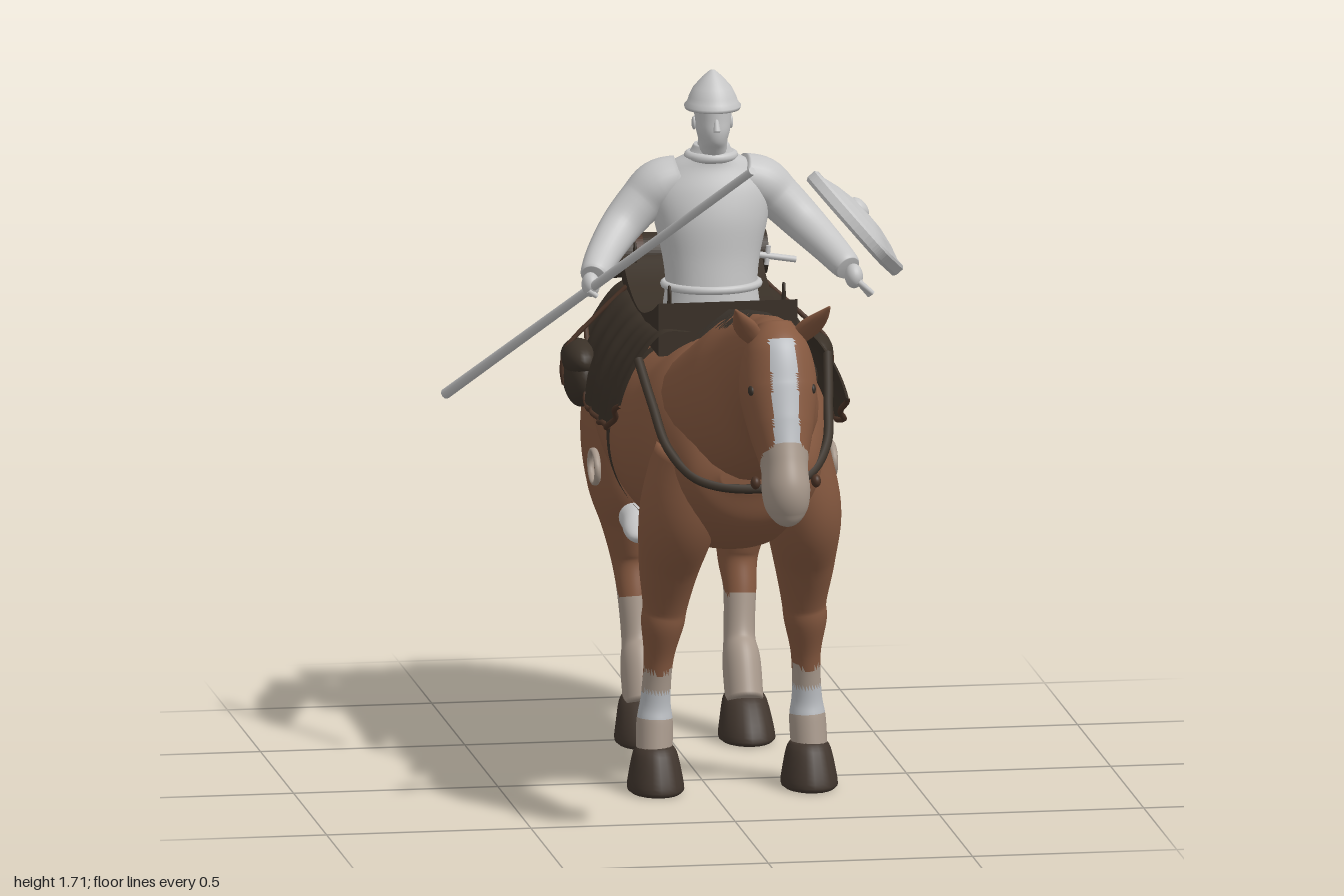
import * as THREE from 'three';
import { ParametricGeometry } from 'three/addons/geometries/ParametricGeometry.js';

const V = (x, y, z) => new THREE.Vector3(x, y, z);
const CX = 0.055; // centre plane of horse and rider

function material(name, color, side = THREE.FrontSide) {
  const m = new THREE.MeshStandardMaterial({ color, side });
  m.name = name;
  return m;
}

// Smooth skin through elliptical sections [x, y, z, halfWidth, halfDepth].
// paint(x, y, z) picks a material group for each face.
function loft(rows, { ref = V(1, 0, 0), tan = null, steps = 6, sides = 28, paint = () => 0 } = {}) {
  const path = new THREE.CatmullRomCurve3(rows.map(r => V(r[0], r[1], r[2])), false, 'catmullrom');
  const size = new THREE.CatmullRomCurve3(rows.map(r => V(r[3], r[4], 0)), false, 'catmullrom');
  const n = (rows.length - 1) * steps, pos = [], groups = [];
  for (let i = 0; i <= n; i++) {
    const c = path.getPoint(i / n), s = size.getPoint(i / n);
    const T = tan ? tan.clone() : path.getTangent(i / n);
    const S = ref.clone().addScaledVector(T, -ref.dot(T)).normalize(), U = T.clone().cross(S);
    for (let j = 0; j < sides; j++) {
      const a = j / sides * Math.PI * 2;
      const p = c.clone().addScaledVector(S, Math.cos(a) * Math.max(s.x, 0.002))
        .addScaledVector(U, Math.sin(a) * Math.max(s.y, 0.002));
      pos.push(p.x, p.y, p.z);
    }
  }
  const first = path.getPoint(0), last = path.getPoint(1), c0 = pos.length / 3;
  pos.push(first.x, first.y, first.z, last.x, last.y, last.z);
  const tri = (a, b, c) => {
    const mid = k => (pos[a * 3 + k] + pos[b * 3 + k] + pos[c * 3 + k]) / 3;
    const g = paint(mid(0), mid(1), mid(2));
    (groups[g] ??= []).push(a, b, c);
  };
  for (let j = 0; j < sides; j++) {
    const k = (j + 1) % sides;
    for (let i = 0; i < n; i++) {
      const a = i * sides + j, b = i * sides + k;
      tri(a, b, a + sides);
      tri(b, b + sides, a + sides);
    }
    tri(c0, k, j);
    tri(c0 + 1, n * sides + j, n * sides + k);
  }
  const geo = new THREE.BufferGeometry();
  geo.setAttribute('position', new THREE.Float32BufferAttribute(pos, 3));
  const index = [];
  groups.forEach((g, i) => { geo.addGroup(index.length, g.length, i); index.push(...g); });
  geo.setIndex(index);
  geo.computeVertexNormals();
  return geo;
}

export function createModel() {
  const root = new THREE.Group();
  root.name = 'mountedRider';
  const coat = material('chestnutCoat', 0x865940), cream = material('creamMarkings', 0xa8998c);
  const white = material('whiteMarkings', 0xb9bcc0), hoofMat = material('hoof', 0x40352d);
  const hair = material('darkHair', 0x38312a, THREE.DoubleSide), leather = material('darkLeather', 0x3a3128, THREE.DoubleSide);
  const strap = material('brownStrap', 0x4a3225), grey = material('paleGrey', 0xc6c6c6, THREE.DoubleSide);
  const add = (name, geo, mat, x = 0, y = 0, z = 0) => {
    const m = new THREE.Mesh(geo, mat);
    m.name = name;
    m.position.set(x, y, z);
    root.add(m);
    return m;
  };
  const bar = (name, p, q, r1, r2, mat) => {
    const d = q.clone().sub(p), m = add(name, new THREE.CylinderGeometry(r2, r1, d.length(), 12), mat);
    m.position.copy(p).add(q).multiplyScalar(0.5);
    m.quaternion.setFromUnitVectors(V(0, 1, 0), d.normalize());
  };
  const ball = (name, mat, x, y, z, a, b, c) => add(name, new THREE.SphereGeometry(1, 24, 16), mat, x, y, z).scale.set(a, b, c);
  const tube = (name, pts, r, mat, n = 48) => add(name, new THREE.TubeGeometry(new THREE.CatmullRomCurve3(pts), n, r, 8), mat);
  const oval = (x, y, cx, cy, rx, ry) => ((x - cx) / rx) ** 2 + ((y - cy) / ry) ** 2 < 1;

  // Horse barrel with patches on the hindquarters: [z, top, bottom, halfWidth]
  const patch = (x, y, z) => {
    const w = y + 0.014 * Math.sin(z * 55), v = z + 0.008 * Math.sin(y * 60), d = x - CX;
    if (y < 0.635) return d > 0.03 && oval(z, d, 0.1, 0.1, 0.04, 0.05) ? 1 : 0;
    if (d > 0.12) {
      const spots = [[-0.72, 0.96, 0.055, 0.13], [-0.65, 1.04, 0.08, 0.045], [-0.56, 0.9, 0.045, 0.022], [-0.58, 0.79, 0.075, 0.04], [-0.63, 0.75, 0.04, 0.03]];
      return spots.some(s => oval(v, w, ...s)) && !oval(v, w, -0.66, 1.0, 0.025, 0.03) ? 1 : 0;
    }
    return d < -0.07 && [[-0.59, 0.98, 0.03, 0.1], [-0.64, 0.9, 0.05, 0.03], [-0.735, 0.91, 0.05, 0.035]].some(s => oval(v, w, ...s)) ? 1 : 0;
  };
  const barrel = [[0.45, 0.88, 0.8, 0.08], [0.41, 0.99, 0.71, 0.155], [0.3, 1.08, 0.64, 0.2], [0.15, 1.13, 0.6, 0.235],
    [0, 1.1, 0.575, 0.255], [-0.15, 1.09, 0.58, 0.265], [-0.3, 1.09, 0.605, 0.265], [-0.45, 1.115, 0.645, 0.26],
    [-0.6, 1.125, 0.66, 0.252], [-0.72, 1.08, 0.69, 0.18], [-0.79, 1.0, 0.75, 0.11], [-0.82, 0.93, 0.85, 0.04]]
    .map(([z, t, b, w]) => [CX, (t + b) / 2, z, w, (t - b) / 2]);
  add('horseBody', loft(barrel, { tan: V(0, 0, -1), steps: 14, sides: 112, paint: patch }), [coat, cream]);
  add('horseNeck', loft([[CX, 0.95, 0.12, 0.2, 0.16], [CX, 0.98, 0.28, 0.185, 0.195], [CX, 1.04, 0.42, 0.15, 0.2],
    [CX, 1.105, 0.55, 0.105, 0.16], [CX, 1.15, 0.66, 0.085, 0.13], [CX, 1.18, 0.75, 0.075, 0.115], [CX, 1.2, 0.81, 0.05, 0.08]]), coat);

  // Head with blaze and pale muzzle
  const face = (x, y, z) => {
    if (y < 0.95 + (z - 0.88)) return 1;
    return Math.abs(x - CX) < 0.032 && y < 1.265 && z > 0.85 + (1.13 - y) * 0.4 ? 2 : 0;
  };
  add('horseHead', loft([[CX, 1.285, 0.765, 0.04, 0.04], [CX, 1.22, 0.79, 0.08, 0.095], [CX, 1.13, 0.81, 0.094, 0.112],
    [CX, 1.04, 0.855, 0.078, 0.1], [CX, 0.96, 0.903, 0.057, 0.08], [CX, 0.9, 0.93, 0.058, 0.076],
    [CX, 0.855, 0.935, 0.048, 0.052], [CX, 0.832, 0.925, 0.02, 0.025]], { steps: 12, sides: 64, paint: face }), [coat, cream, white]);

  // Tail
  add('tail', loft([[0.065, 1.01, -0.8, 0.03, 0.018], [0.08, 0.93, -0.835, 0.05, 0.032], [0.085, 0.72, -0.89, 0.052, 0.045],
    [0.07, 0.45, -0.955, 0.035, 0.033], [0.045, 0.19, -0.997, 0.004, 0.004]], { sides: 16 }), hair);

  // Mane locks falling to the right of the crest
  const crest = new THREE.CatmullRomCurve3([V(0, 1.152, 0.18), V(0, 1.178, 0.23), V(0, 1.23, 0.345), V(0, 1.262, 0.49), V(0, 1.288, 0.62), V(0, 1.295, 0.67)]);
  const locks = [], lockIndex = [];
  for (let i = 0; i < 36; i++) {
    const c = crest.getPointAt(i / 35), l = 0.06 + 0.05 * Math.abs(Math.sin(i * 2.3)), k = locks.length / 3, e = 0.012 * Math.sin(i * 5);
    [[0.006, -0.01, 0.012], [-l * 0.5, -0.004, 0.01], [-l, -0.042, 0.002]].forEach(([dx, dy, w], s) =>
      locks.push(CX + dx, c.y + dy, c.z - w + s * e, CX + dx, c.y + dy, c.z + w + s * e));
    for (const s of [0, 2]) lockIndex.push(k + s, k + s + 1, k + s + 2, k + s + 1, k + s + 3, k + s + 2);
  }
  const mane = new THREE.BufferGeometry();
  mane.setAttribute('position', new THREE.Float32BufferAttribute(locks, 3));
  mane.setIndex(lockIndex);
  mane.computeVertexNormals();
  add('mane', mane, hair);

  for (const s of [1, -1]) {
    const X = d => CX + s * d;
    const row = r => [X(r[0]), ...r.slice(1)];
    // Ears, eyes and bit
    add('ear', loft([[0.05, 1.25, 0.785, 0.022, 0.02], [0.08, 1.285, 0.815, 0.028, 0.02], [0.1, 1.315, 0.85, 0.018, 0.013],
      [0.115, 1.343, 0.878, 0.003, 0.003]].map(row), { sides: 12 }), coat);
    ball('eye', hair, X(0.074), 1.14, 0.866, 0.009, 0.014, 0.017);
    ball('bitKnob', strap, X(0.074), 0.925, 0.925, 0.012, 0.016, 0.016);
    // Legs with pale stockings
    const foreSock = (x, y, z) => y > 0.285 + 0.02 * Math.sin(z * 60) ? 0 : (y > 0.18 && y < 0.25 && z > 0.09 ? 2 : 1);
    add('frontLeg', loft([[0.12, 0.88, 0.26, 0.09, 0.13], [0.15, 0.72, 0.24, 0.095, 0.125], [0.165, 0.58, 0.185, 0.075, 0.085],
      [0.17, 0.47, 0.15, 0.055, 0.056], [0.175, 0.42, 0.14, 0.052, 0.053], [0.18, 0.33, 0.115, 0.036, 0.042],
      [0.185, 0.23, 0.1, 0.036, 0.04], [0.187, 0.17, 0.097, 0.044, 0.05], [0.19, 0.09, 0.11, 0.044, 0.05]].map(row), { paint: foreSock }), [coat, cream, white]);
    add('hindLeg', loft([[0.12, 0.9, -0.62, 0.11, 0.15], [0.145, 0.75, -0.62, 0.105, 0.165], [0.15, 0.62, -0.6, 0.088, 0.13],
      [0.14, 0.52, -0.6, 0.065, 0.083], [0.13, 0.43, -0.605, 0.05, 0.063], [0.13, 0.35, -0.573, 0.04, 0.043], [0.125, 0.24, -0.55, 0.038, 0.047],
      [0.125, 0.18, -0.515, 0.046, 0.06], [0.125, 0.09, -0.47, 0.046, 0.06]].map(row),
      { steps: 9, sides: 44, paint: (x, y, z) => y > 0.64 ? patch(x, y, z) : y > 0.36 + 0.02 * Math.sin(z * 60) ? 0 : 1 }), [coat, cream]);
    const hoof = (name, d, z, lean) => add(name, loft([[d, 0.114, z - lean, 0.043, 0.05], [d, 0.095, z - lean * 0.7, 0.054, 0.066], [d, 0.05, z - lean * 0.2, 0.064, 0.083],
      [d, 0.012, z, 0.069, 0.094], [d, 0.001, z, 0.06, 0.086]].map(row), { tan: V(0, -1, 0), steps: 3, sides: 20 }), hoofMat);
    hoof('frontHoof', 0.188, 0.118, 0.012);
    hoof('hindHoof', 0.127, -0.45, 0.045);

    // Hanging saddle cloth with hem
    const drape = new THREE.CatmullRomCurve3([V(0.1, 1.135, 0), V(0.17, 1.135, 0), V(0.235, 1.06, 0), V(0.276, 0.96, 0), V(0.285, 0.87, 0)]);
    const cloth = (u, v, t) => {
      const end = 1 - 0.4 * Math.max(0, v - 0.7) / 0.3 - 0.25 * Math.max(0, 0.25 - v) / 0.25, p = drape.getPoint(u * end);
      const sag = 0.035 * Math.sin(v * Math.PI) * (1 - u);
      return t.set(X(p.x + 0.008 * u * Math.sin(v * 38)), p.y - sag + 0.006 * u * Math.sin(v * 25), 0.135 - 0.635 * v);
    };
    add('saddleCloth', new ParametricGeometry(cloth, 16, 48), leather);
    tube('clothHem', Array.from({ length: 16 }, (_, i) => cloth(1, i / 15, V(0, 0, 0))), 0.007, strap);
    // Saddlebags, stirrups and saddle hooks
    ball('saddlebag', leather, X(0.285), 0.92, -0.42, 0.042, 0.075, 0.086);
    ball('bagFlap', leather, X(0.288), 0.965, -0.42, 0.044, 0.045, 0.088);
    tube('bagStrap', [V(X(0.17), 1.135, -0.43), V(X(0.25), 1.06, -0.43), V(X(0.318), 0.99, -0.42), V(X(0.33), 0.94, -0.42), V(X(0.325), 0.9, -0.42)], 0.006, strap);
    const ring = add('stirrup', new THREE.TorusGeometry(0.05, 0.007, 8, 32), cream, X(0.29), 0.745, -0.18);
    ring.rotation.y = Math.PI / 2;
    ring.scale.set(1.1, 0.8, 1.2);
    for (const z of [0.03, -0.49]) tube('saddleHook', [V(X(0.14), 1.15, z + 0.01), V(X(0.14), 1.22, z + 0.01), V(X(0.14), 1.23, z), V(X(0.14), 1.16, z - 0.02)], 0.003, leather, 16);

    // Rider arm, hand and foot
    add('riderArm', loft([[0.07, 1.445, -0.22, 0.06, 0.055], [0.125, 1.425, -0.225, 0.066, 0.062], [0.17, 1.385, -0.222, 0.058, 0.056],
      [0.225, 1.33, -0.195, 0.048, 0.05], [0.275, 1.28, -0.13, 0.042, 0.042], [0.305, 1.248, -0.07, 0.036, 0.036], [0.312, 1.24, -0.055, 0.03, 0.03]].map(row), { ref: V(0, 0, 1) }), grey);
    ball('hand', grey, X(0.322), 1.225, -0.035, 0.022, 0.03, 0.03);
    for (let i = 0; i < 4; i++)
      bar('finger', V(X(0.33), 1.215, -0.055 + i * 0.014), V(X(s > 0 ? 0.365 : 0.31), s > 0 ? 1.17 + i * 0.005 : 1.2, -0.06 + i * 0.016), 0.008, 0.006, grey);
    add('riderFoot', loft([[0.185, 0.606, -0.255, 0.02, 0.02], [0.185, 0.607, -0.235, 0.036, 0.034], [0.185, 0.605, -0.18, 0.038, 0.035],
      [0.185, 0.594, -0.13, 0.04, 0.026], [0.185, 0.587, -0.09, 0.034, 0.018], [0.185, 0.585, -0.07, 0.012, 0.008]].map(row)), grey);
  }

  // Saddle seat, raised at both ends
  const seat = new THREE.Shape();
  seat.moveTo(-0.05, 1.06);
  seat.lineTo(-0.05, 1.19);
  seat.splineThru([new THREE.Vector2(0.06, 1.15), new THREE.Vector2(0.23, 1.115), new THREE.Vector2(0.39, 1.14), new THREE.Vector2(0.5, 1.195)]);
  seat.lineTo(0.5, 1.06);
  const seatGeo = new THREE.ExtrudeGeometry(seat, { depth: 0.34, bevelEnabled: false, curveSegments: 20 });
  seatGeo.rotateY(Math.PI / 2); // profile runs towards the tail, depth towards +x
  add('saddle', seatGeo, leather, CX - 0.17, 0, 0);
  const girth = add('girth', new THREE.CylinderGeometry(1, 1, 0.045, 64, 1, true).rotateX(Math.PI / 2), leather, CX, 0.836, -0.095);
  girth.scale.set(0.27, 0.266, 1);
  const half = [[0.232, 1.07, 0.13], [0.215, 0.98, 0.24], [0.192, 0.89, 0.35], [0.13, 0.83, 0.425]];
  tube('breastStrap', [...half.map(p => V(CX + p[0], p[1], p[2])), V(CX, 0.81, 0.45), ...half.reverse().map(p => V(CX - p[0], p[1], p[2]))], 0.012, leather, 80);

  // Rolled blanket behind the saddle
  const rollRing = (r, w) => {
    const s = new THREE.Shape().absarc(0, 0, r, 0, Math.PI * 2);
    s.holes.push(new THREE.Path().absarc(0, 0, 0.042, 0, Math.PI * 2, true));
    return new THREE.ExtrudeGeometry(s, { depth: w, bevelEnabled: false, curveSegments: 24 }).rotateY(Math.PI / 2);
  };
  add('bedroll', rollRing(0.054, 0.38), leather, CX - 0.185, 1.178, -0.588);
  for (const x of [-0.13, 0.11]) add('bedrollStrap', rollRing(0.058, 0.02), strap, CX + x, 1.178, -0.588);

  // Rider
  add('riderTorso', loft([[CX, 1.06, -0.2, 0.12, 0.1], [CX, 1.13, -0.2, 0.118, 0.1], [CX, 1.19, -0.2, 0.112, 0.095], [CX, 1.26, -0.205, 0.12, 0.095],
    [CX, 1.35, -0.21, 0.14, 0.098], [CX, 1.42, -0.22, 0.145, 0.092], [CX, 1.475, -0.22, 0.105, 0.07], [CX, 1.505, -0.205, 0.058, 0.052],
    [CX, 1.53, -0.2, 0.042, 0.045]], { tan: V(0, 1, 0), sides: 36 }), grey);
  const loop = (name, r, t, y, z, a, b) => add(name, new THREE.TorusGeometry(r, t, 10, 40).rotateX(Math.PI / 2), grey, CX, y, z).scale.set(a, 1, b);
  loop('belt', 0.112, 0.01, 1.185, -0.2, 1.02, 0.88);
  loop('collar', 0.054, 0.012, 1.5, -0.205, 1, 0.95);
  add('riderHead', loft([[CX, 1.5, -0.2, 0.04, 0.045], [CX, 1.525, -0.188, 0.036, 0.05], [CX, 1.545, -0.178, 0.035, 0.055], [CX, 1.57, -0.176, 0.041, 0.059],
    [CX, 1.6, -0.178, 0.044, 0.06], [CX, 1.64, -0.18, 0.046, 0.062]], { tan: V(0, 1, 0) }), grey);
  bar('nose', V(CX, 1.605, -0.124), V(CX, 1.575, -0.112), 0.005, 0.009, grey);
  for (const s of [1, -1]) ball('riderEar', grey, CX + s * 0.045, 1.585, -0.185, 0.006, 0.017, 0.011);
  const dome = [[0.05, 1.625], [0.074, 1.62], [0.077, 1.628], [0.068, 1.638], [0.064, 1.65], [0.052, 1.672], [0.028, 1.697], [0.008, 1.713], [0, 1.715]];
  add('helmet', new THREE.LatheGeometry(dome.map(p => new THREE.Vector2(...p)), 36), grey, CX, 0, -0.182).scale.set(0.9, 1, 1);

  // Lance and sword hilt
  bar('lance', V(-0.548, 0.87, -0.495), V(0.042, 1.605, 0.5), 0.013, 0.01, grey);
  bar('swordHilt', V(0.15, 1.254, -0.2), V(0.262, 1.236, -0.2), 0.008, 0.008, grey);
  bar('swordGuard', V(0.19, 1.225, -0.2), V(0.195, 1.272, -0.2), 0.006, 0.006, grey);

  // Domed shield: outline scaled towards its centre in rising rings
  const edge = new THREE.CatmullRomCurve3([[0, 0.13], [0.025, 0.06], [0.1, 0], [0.2, -0.008], [0.245, 0.025], [0.31, 0.17], [0.378, 0.335],
    [0.385, 0.358], [0.36, 0.353], [0.2, 0.3], [0.07, 0.24], [0.01, 0.175]].map(p => V(p[0], p[1], 0)), true);
  const rings = [[0.001, -0.035], [0.97, -0.035], [1, -0.027], [1, -0.006], [0.96, 0], [0.92, -0.004], [0.6, 0.012], [0.3, 0.021], [0.001, 0.023]];
  const skin = (u, v, t) => {
    const [k, h] = rings[Math.round(v * (rings.length - 1))], p = edge.getPoint(u % 1);
    return t.set(0.17 + (p.x - 0.17) * k, 0.16 + (p.y - 0.16) * k, h);
  };
  const shield = new THREE.Group();
  shield.name = 'shield';
  shield.matrix.makeBasis(V(0.65, -0.76, 0), V(0, 0, -1), V(0.76, 0.65, 0)).setPosition(0.303, 1.467, 0);
  shield.matrix.decompose(shield.position, shield.quaternion, shield.scale);
  const plate = new THREE.Mesh(new ParametricGeometry(skin, 72, rings.length - 1), grey);
  plate.name = 'shieldPlate';
  const boss = new THREE.Mesh(new THREE.SphereGeometry(0.03, 24, 16), grey);
  boss.name = 'shieldBoss';
  boss.position.set(0.15, 0.175, 0.016);
  boss.scale.z = 0.6;
  shield.add(plate, boss);
  root.add(shield);
  return root;
}
